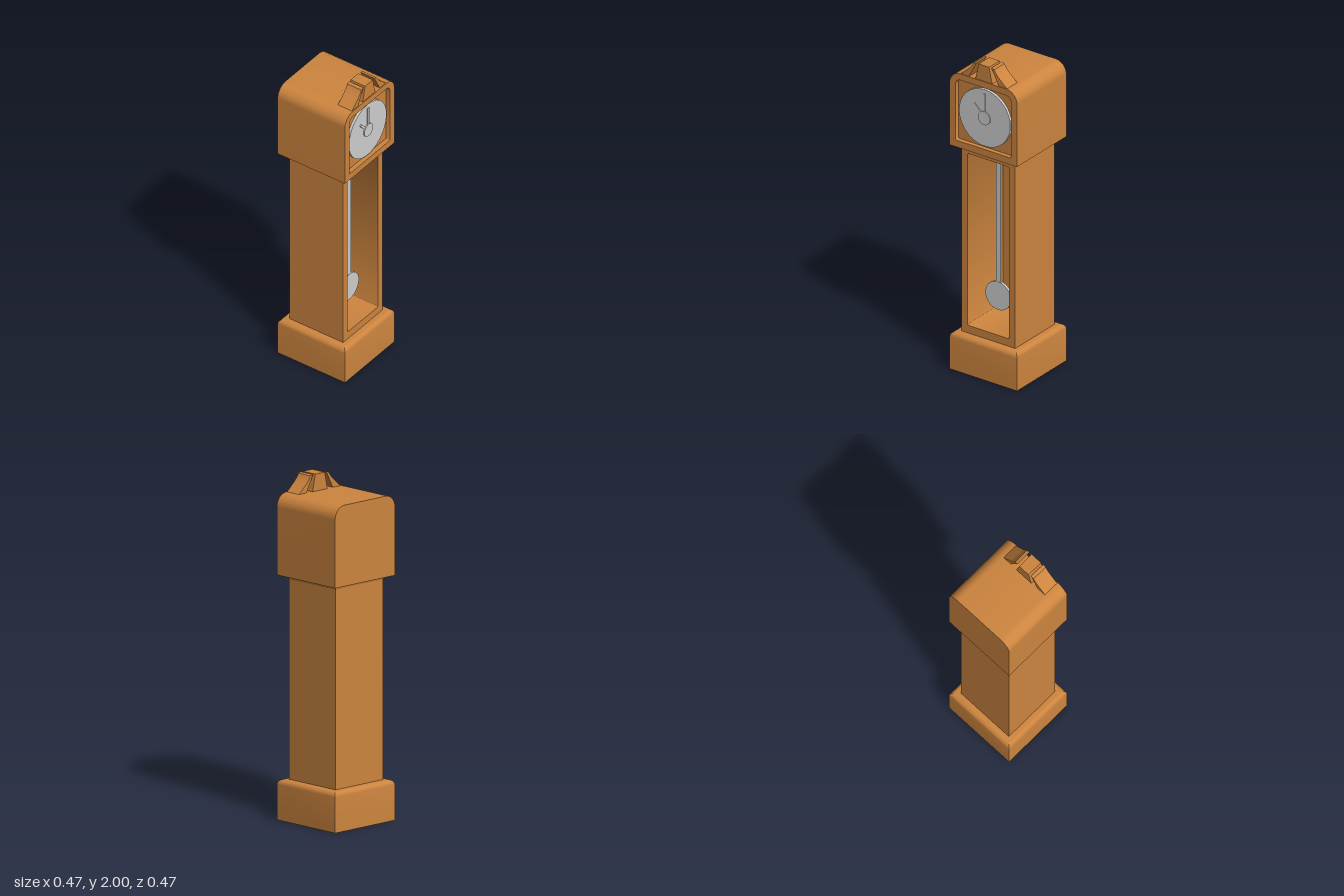
import * as THREE from 'three';
import { toCreasedNormals } from 'three/addons/utils/BufferGeometryUtils.js';

// Outline symmetric about x = 0, with separately rounded bottom and top corners
function panel(Type, w, y0, y1, rBottom, rTop) {
  const s = new Type();
  s.moveTo(-w + rBottom, y0);
  s.lineTo(w - rBottom, y0);
  if (rBottom) s.absarc(w - rBottom, y0 + rBottom, rBottom, -Math.PI / 2, 0);
  s.lineTo(w, y1 - rTop);
  if (rTop) s.absarc(w - rTop, y1 - rTop, rTop, 0, Math.PI / 2);
  s.lineTo(-w + rTop, y1);
  if (rTop) s.absarc(-w + rTop, y1 - rTop, rTop, Math.PI / 2, Math.PI);
  s.lineTo(-w, y0 + rBottom);
  if (rBottom) s.absarc(-w + rBottom, y0 + rBottom, rBottom, Math.PI, Math.PI * 1.5);
  return s;
}

// Extrude a face outline between two depths
function slab(shape, z0, z1) {
  const g = new THREE.ExtrudeGeometry(shape, { depth: z1 - z0, bevelEnabled: false, curveSegments: 10 });
  g.translate(0, 0, z0);
  return toCreasedNormals(g, 0.6);
}

// Square moulding turned from a profile of [half width, height]
function moulding(profile) {
  const pts = profile.map(([r, y]) => new THREE.Vector2(r * Math.SQRT2, y));
  return toCreasedNormals(new THREE.LatheGeometry(pts, 4, Math.PI / 4), 0.6);
}

function disc(radius, y, z0, z1, segments = 64) {
  const g = new THREE.CylinderGeometry(radius, radius, z1 - z0, segments);
  g.rotateX(Math.PI / 2);
  g.translate(0, y, (z0 + z1) / 2);
  return g;
}

export function createModel() {
  const wood = new THREE.MeshStandardMaterial({ color: 0xcd853f });
  wood.name = 'wood';
  const silver = new THREE.MeshStandardMaterial({ color: 0xd0d0d0 });
  silver.name = 'silver';

  const model = new THREE.Group();
  model.name = 'grandfatherClock';
  const clock = new THREE.Group();
  clock.name = 'clock';
  model.add(clock);
  const add = (name, geometry, material, parent = clock) => {
    const mesh = new THREE.Mesh(geometry, material);
    mesh.name = name;
    parent.add(mesh);
    return mesh;
  };

  // Plinth with a rounded upper edge
  const plinth = [[0, 0], [0.237, 0]];
  for (let i = 0; i <= 5; i++) {
    const a = (i / 5) * Math.PI / 2;
    plinth.push([0.207 + 0.03 * Math.cos(a), 0.207 + 0.03 * Math.sin(a)]);
  }
  plinth.push([0, 0.237]);
  add('plinth', moulding(plinth), wood);

  // Hollow trunk: open front frame plus back board
  const trunk = panel(THREE.Shape, 0.189, 0.23, 1.43, 0, 0);
  trunk.holes.push(panel(THREE.Path, 0.147, 0.285, 1.38, 0.01, 0.01));
  add('trunk', slab(trunk, -0.15, 0.189), wood);
  add('trunkBack', slab(panel(THREE.Shape, 0.189, 0.23, 1.43, 0, 0), -0.189, -0.15), wood);

  // Cove moulding under the head
  const cove = [];
  for (let i = 0; i <= 5; i++) {
    const a = (i / 5) * Math.PI / 2;
    cove.push([0.214 - 0.025 * Math.cos(a), 1.403 + 0.025 * Math.sin(a)]);
  }
  add('cove', moulding(cove), wood);

  // Head with a shallow dial recess
  const headOutline = () => panel(THREE.Shape, 0.237, 1.427, 1.9, 0, 0.075);
  const bezel = headOutline();
  bezel.holes.push(panel(THREE.Path, 0.195, 1.47, 1.86, 0.005, 0.035));
  add('head', slab(headOutline(), -0.237, 0.208), wood);
  add('headFrame', slab(bezel, 0.208, 0.237), wood);

  // Dial, hub and hands
  const dialY = 1.663;
  add('dial', disc(0.18, dialY, 0.207, 0.224), silver);
  add('handHub', disc(0.042, dialY, 0.223, 0.231, 32), silver);
  for (const [name, length, angle] of [['minuteHand', 0.155, 0], ['hourHand', 0.105, 0.78]]) {
    const g = new THREE.BoxGeometry(0.014, length, 0.006);
    g.translate(0, length / 2, 0);
    const hand = add(name, g, silver);
    hand.position.set(0, dialY, 0.227);
    hand.rotation.z = angle;
  }

  // Pendulum
  const pendulum = new THREE.Group();
  pendulum.name = 'pendulum';
  clock.add(pendulum);
  const rod = new THREE.BoxGeometry(0.034, 0.83, 0.012);
  rod.translate(0, 0.965, 0.088);
  add('pendulumRod', rod, silver, pendulum);
  add('pendulumBob', disc(0.089, 0.478, 0.08, 0.096, 48), silver, pendulum);

  // Crest: centre finial between two curved scrolls
  const finial = new THREE.Shape();
  finial.moveTo(-0.06, 1.895);
  finial.lineTo(0.06, 1.895);
  finial.lineTo(0.037, 2);
  finial.lineTo(-0.037, 2);
  add('finial', slab(finial, 0.13, 0.232), wood);
  for (const side of [-1, 1]) {
    const scroll = new THREE.Shape();
    scroll.moveTo(side * 0.107, 1.895);
    scroll.lineTo(side * 0.168, 1.895);
    scroll.quadraticCurveTo(side * 0.135, 1.925, side * 0.105, 1.952);
    scroll.quadraticCurveTo(side * 0.082, 1.975, side * 0.073, 1.995);
    scroll.lineTo(side * 0.053, 2);
    add(side < 0 ? 'scrollLeft' : 'scrollRight', slab(scroll, 0.133, 0.232), wood);
  }

  // The dial looks toward +x
  clock.rotation.y = Math.PI / 2;
  return model;
}
